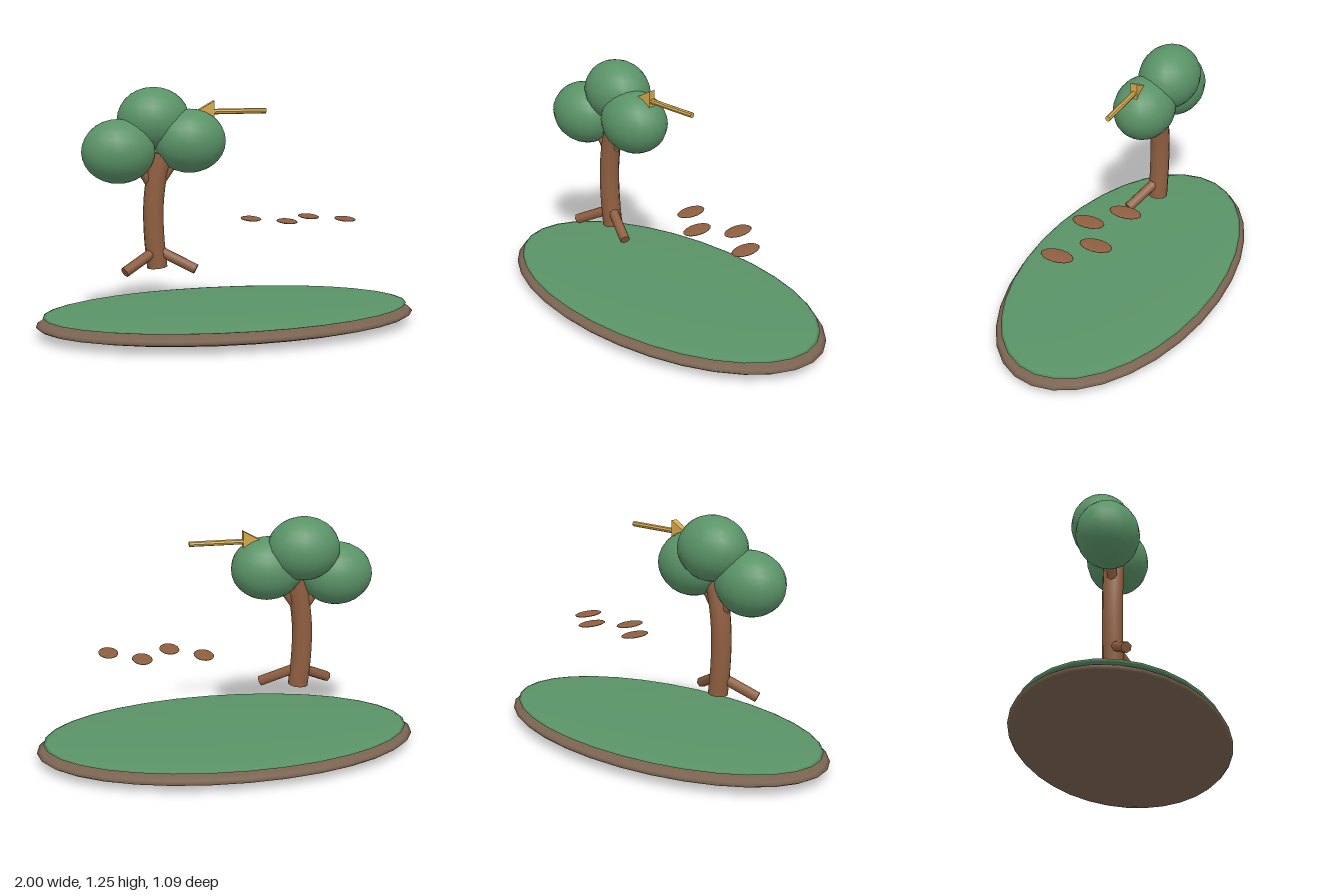
import * as THREE from 'three';

const paint = (color, flatShading = false) => new THREE.MeshStandardMaterial({ color, flatShading });
const V = (x, y, z = 0) => new THREE.Vector3(x, y, z);

export function createModel() {
  const model = new THREE.Group();
  const green = paint(0x5a9367);
  const earth = paint(0x7a6350);
  const bark = paint(0x8f5f40);
  const gold = paint(0xd4a84b, true);

  const add = (name, geometry, material, parent = model) => {
    const mesh = new THREE.Mesh(geometry, material);
    mesh.name = name;
    parent.add(mesh);
    return mesh;
  };

  // Sphere stretched to the given radii
  const ellipsoid = (name, material, center, radii, w, h, parent) =>
    add(name, new THREE.SphereGeometry(1, w, h).scale(...radii).translate(...center), material, parent);

  // Straight cylinder between two points
  const limb = (name, a, b, radius, sides, material, parent) => {
    const dir = b.clone().sub(a);
    const mesh = add(name, new THREE.CylinderGeometry(radius, radius, dir.length(), sides), material, parent);
    mesh.position.copy(a).add(b).multiplyScalar(0.5);
    mesh.quaternion.setFromUnitVectors(V(0, 1, 0), dir.normalize());
    return mesh;
  };

  // Ground: an earth disc with a thin grass layer
  ellipsoid('earthBase', earth, [0, 0.06, 0], [1, 0.06, 0.545], 32, 16);
  ellipsoid('grassLayer', green, [0, 0.104, 0], [0.965, 0.02, 0.52], 32, 16);

  // Tree
  const tree = new THREE.Group();
  tree.name = 'tree';
  model.add(tree);

  // Curved trunk with closed ends
  const path = new THREE.CatmullRomCurve3(
    [V(-0.377, 0.34), V(-0.392, 0.5), V(-0.394, 0.66), V(-0.378, 0.8), V(-0.35, 0.92)]);
  const trunkRadius = 0.052, trunkSides = 10;
  add('trunk', new THREE.TubeGeometry(path, 16, trunkRadius, trunkSides), bark, tree);
  for (const [t, sign] of [[0, -1], [1, 1]]) {
    const cap = add('trunkCap', new THREE.CircleGeometry(trunkRadius, trunkSides), bark, tree);
    cap.position.copy(path.getPointAt(t));
    cap.quaternion.setFromUnitVectors(V(0, 0, 1), path.getTangentAt(t).multiplyScalar(sign));
  }

  // Roots spread sideways and forward, branches reach into the crown
  for (const side of [-1, 1]) {
    limb('root', V(-0.377 + side * 0.015, 0.425, 0.01), V(-0.377 + side * 0.183, 0.338, 0.088),
      0.027, 7, bark, tree);
    limb('branch', V(-0.385 + side * 0.01, 0.75), V(-0.38 + side * 0.13, 0.93), 0.025, 7, bark, tree);
  }

  // Crown
  for (const center of [[-0.57, 0.938, 0], [-0.205, 0.983, 0], [-0.38, 1.092, -0.055]])
    ellipsoid('foliage', green, center, [0.187, 0.162, 0.156], 18, 14, tree);

  // Arrow pointing into the crown
  const arrow = new THREE.Group();
  arrow.name = 'arrow';
  arrow.position.set(0, 1.128, 0);
  model.add(arrow);
  limb('arrowShaft', V(-0.1, 0), V(0.196, 0), 0.014, 8, gold, arrow);
  const head = new THREE.Shape([[-0.178, 0], [-0.078, -0.056], [-0.078, 0.056]]
    .map(([x, y]) => new THREE.Vector2(x, y)));
  add('arrowHead', new THREE.ExtrudeGeometry(head, { depth: 0.036, bevelEnabled: false })
    .translate(0, 0, -0.018), gold, arrow);

  // Row of flat staggered ovals
  for (let i = 0; i < 4; i++)
    ellipsoid('flatOval', bark, [0.136 + i * 0.158, 0.56, i % 2 ? 0.064 : -0.064],
      [0.051, 0.008, 0.087], 16, 10);

  return model;
}
